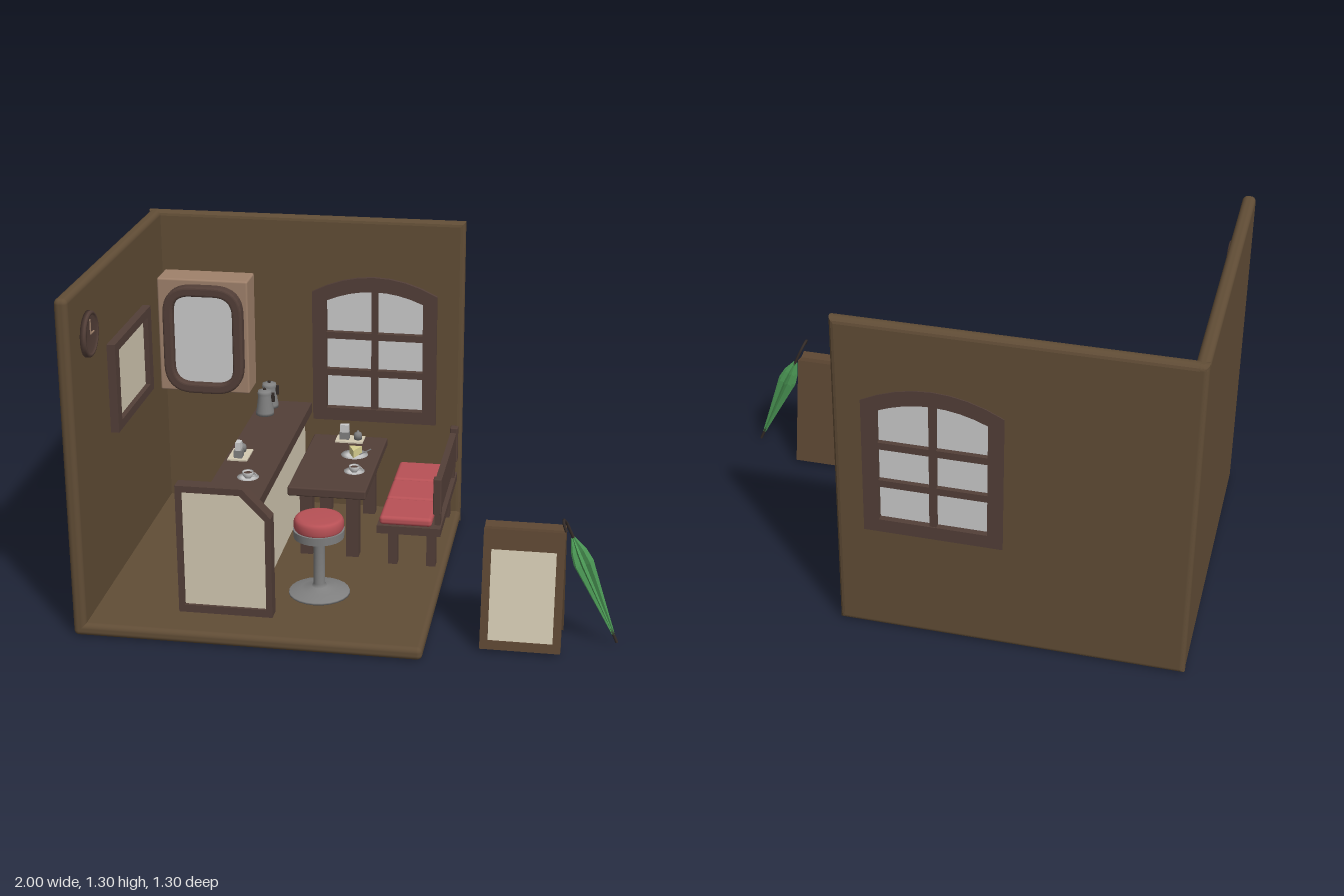
import * as THREE from 'three';
import { RoundedBoxGeometry } from 'three/addons/geometries/RoundedBoxGeometry.js';

const mat = (color, extra = {}) => new THREE.MeshStandardMaterial({ color, ...extra });
const M = {
  wall: mat(0x614d36), wood: mat(0x533f38), tan: mat(0x9f816b), cream: mat(0xd3c9b2), glass: mat(0xcccccc),
  red: mat(0xb85156), metal: mat(0x808080), green: mat(0x4c9a56, { flatShading: true, side: THREE.DoubleSide }),
  white: mat(0xdddddd, { side: THREE.DoubleSide }), yellow: mat(0xd8cf90), black: mat(0x332b28), board: mat(0x5c4632),
};

export function createModel() {
  const root = new THREE.Group();

  const add = (name, geo, m, x = 0, y = 0, z = 0, parent = root) => {
    const mesh = new THREE.Mesh(geo, m);
    mesh.name = name;
    mesh.position.set(x, y, z);
    parent.add(mesh);
    return mesh;
  };
  // box given by its min and max on each axis, optionally rounded
  const box = (name, m, x0, x1, y0, y1, z0, z1, r = 0, parent = root) => {
    const s = [x1 - x0, y1 - y0, z1 - z0];
    const geo = r ? new RoundedBoxGeometry(...s, 3, r) : new THREE.BoxGeometry(...s);
    return add(name, geo, m, (x0 + x1) / 2, (y0 + y1) / 2, (z0 + z1) / 2, parent);
  };
  const group = (name, x = 0, y = 0, z = 0, parent = root) => {
    const g = new THREE.Group();
    g.name = name;
    g.position.set(x, y, z);
    parent.add(g);
    return g;
  };
  const lathe = (pts, n = 24) => new THREE.LatheGeometry(pts.map(p => new THREE.Vector2(...p)), n);
  const extrude = (shape, depth, bevel = 0, hole = null) => {
    if (hole) shape.holes.push(hole);
    return new THREE.ExtrudeGeometry(shape, {
      depth: depth - 2 * bevel, bevelEnabled: bevel > 0, bevelSize: bevel, bevelThickness: bevel,
      bevelSegments: 3, curveSegments: 8,
    }).translate(0, 0, bevel);
  };
  const poly = pts => new THREE.Shape(pts.map(p => new THREE.Vector2(...p)));
  const rect = (w, h) => poly([[-w, -h], [w, -h], [w, h], [-w, h]]);
  const roundRect = (w, h, r) => new THREE.Shape()
    .moveTo(-w + r, -h).lineTo(w - r, -h).quadraticCurveTo(w, -h, w, -h + r)
    .lineTo(w, h - r).quadraticCurveTo(w, h, w - r, h)
    .lineTo(-w + r, h).quadraticCurveTo(-w, h, -w, h - r)
    .lineTo(-w, -h + r).quadraticCurveTo(-w, -h, -w + r, -h);
  const arch = (cx, w, y0, ys, top) => new THREE.Shape()
    .moveTo(cx - w, y0).lineTo(cx + w, y0).lineTo(cx + w, ys)
    .quadraticCurveTo(cx, 2 * top - ys, cx - w, ys).lineTo(cx - w, y0);

  // Room shell
  box('floor', M.wall, -1, 0.3, 0, 0.05, -0.65, 0.65, 0.02);
  box('leftWall', M.wall, -1, -0.95, 0, 1.3, -0.65, 0.65, 0.02);
  const wx = -0.065;
  const wall = poly([[-0.98, 0.02], [0.28, 0.02], [0.28, 1.28], [-0.98, 1.28]]);
  add('backWall', extrude(wall, 0.05, 0.02, arch(wx, 0.24, 0.455, 0.975, 1.035)), M.wall, 0, 0, -0.65);

  // Arched window
  const win = group('window');
  add('windowFrame', extrude(arch(wx, 0.257, 0.437, 0.99, 1.06), 0.069, 0, arch(wx, 0.2, 0.49, 0.955, 1.0)),
    M.wood, 0, 0, -0.654, win);
  add('windowGlass', extrude(arch(wx, 0.205, 0.485, 0.957, 1.005), 0.012), M.glass, 0, 0, -0.63, win);
  box('windowMullion', M.wood, wx - 0.013, wx + 0.013, 0.485, 1.0, -0.65, -0.592, 0, win);
  for (const y of [0.645, 0.805]) box('windowBar', M.wood, wx - 0.2, wx + 0.2, y - 0.014, y + 0.014, -0.649, -0.593, 0, win);

  // Picture on the left wall
  const pic = group('picture', -0.95, 0.82, -0.035);
  pic.rotation.y = Math.PI / 2;
  add('pictureFrame', extrude(rect(0.252, 0.175), 0.032, 0, rect(0.203, 0.14)), M.wood, 0, 0, 0, pic);
  add('pictureCanvas', new THREE.BoxGeometry(0.41, 0.285, 0.012), M.cream, 0, 0, 0.006, pic);

  // Wall clock
  const clock = group('clock', -0.95, 1.11, 0.44);
  clock.rotation.z = -Math.PI / 2;
  add('clockBody', lathe([[0, 0], [0.085, 0], [0.085, 0.015], [0.08, 0.02], [0.072, 0.02], [0.07, 0.012], [0, 0.012]], 32), M.wood, 0, 0, 0, clock);
  box('minuteHand', M.tan, -0.055, 0, 0.012, 0.016, -0.002, 0.002, 0, clock);
  box('hourHand', M.tan, -0.002, 0.002, 0.012, 0.016, -0.038, 0, 0, clock);

  // Cabinet with rounded mirror in the back corner
  box('mirrorCabinet', M.tan, -0.94, -0.565, 0.575, 1.055, -0.602, -0.466, 0.008);
  const mirror = group('mirror', -0.745, 0.81, -0.468);
  add('mirrorFrame', extrude(roundRect(0.155, 0.217, 0.11), 0.052, 0.01, roundRect(0.133, 0.195, 0.085)), M.wood, 0, 0, 0, mirror);
  add('mirrorGlass', extrude(roundRect(0.127, 0.189, 0.08), 0.02), M.glass, 0, 0, 0, mirror);

  // Counter
  box('counterBody', M.cream, -0.52, -0.36, 0.05, 0.46, -0.6, 0.44);
  box('counterTop', M.wood, -0.545, -0.33, 0.46, 0.503, -0.6, 0.44);
  const end = poly([[-0.636, 0.05], [-0.28, 0.05], [-0.28, 0.45], [-0.385, 0.56], [-0.636, 0.56]]);
  const inset = () => poly([[-0.613, 0.08], [-0.303, 0.08], [-0.303, 0.44], [-0.395, 0.535], [-0.613, 0.535]]);
  add('counterEndFrame', extrude(end, 0.056, 0, inset()), M.wood, 0, 0, 0.434);
  add('counterEndPanel', extrude(inset(), 0.032), M.cream, 0, 0, 0.446);

  // Table
  box('tableTop', M.wood, -0.32, -0.01, 0.328, 0.365, -0.6, -0.015, 0.006);
  for (const x of [-0.26, -0.075]) for (const z of [-0.54, -0.11])
    box('tableLeg', M.wood, x - 0.025, x + 0.025, 0.05, 0.33, z - 0.025, z + 0.025);

  // Bench
  const bench = group('bench');
  box('benchSeat', M.wood, 0.035, 0.285, 0.195, 0.228, -0.6, -0.01, 0, bench);
  for (let i = 0; i < 3; i++)
    box('benchCushion', M.red, 0.043, 0.25, 0.228, 0.264, -0.6 + i * 0.196, -0.408 + i * 0.196, 0.014, bench);
  box('benchBack', M.wood, 0.257, 0.282, 0.287, 0.415, -0.6, -0.01, 0, bench);
  for (const z of [-0.583, -0.027]) box('benchBackEnd', M.wood, 0.255, 0.287, 0.287, 0.437, z - 0.017, z + 0.017, 0.005, bench);
  for (const z of [-0.55, -0.065]) {
    box('benchBackPost', M.wood, 0.257, 0.28, 0.22, 0.29, z - 0.018, z + 0.018, 0, bench);
    for (const x of [0.093, 0.245]) box('benchLeg', M.wood, x - 0.018, x + 0.018, 0.05, 0.2, z - 0.02, z + 0.02, 0, bench);
  }

  // Stool
  const stool = group('stool', -0.147, 0, 0.245);
  add('stoolBase', lathe([[0, 0.05], [0.118, 0.05], [0.116, 0.057], [0.07, 0.068], [0.03, 0.078], [0.022, 0.09],
    [0.022, 0.265], [0.045, 0.284], [0, 0.284]]), M.metal, 0, 0, 0, stool);
  add('stoolRim', new THREE.CylinderGeometry(0.098, 0.096, 0.032, 28), M.metal, 0, 0.3, 0, stool);
  add('stoolCushion', lathe([[0.09, 0.315], [0.095, 0.324], [0.095, 0.35], [0.088, 0.362], [0.075, 0.366], [0, 0.366]], 28), M.red, 0, 0, 0, stool);

  // Cups on saucers
  const cup = (x, y, z) => {
    const g = group('cupAndSaucer', x, y, z);
    add('saucer', lathe([[0, 0], [0.022, 0], [0.042, 0.008], [0.022, 0.004], [0, 0.004]]), M.white, 0, 0, 0, g);
    add('cup', lathe([[0, 0.005], [0.012, 0.005], [0.02, 0.016], [0.022, 0.03], [0.018, 0.029], [0.014, 0.013], [0, 0.012]]), M.white, 0, 0, 0, g);
    add('coffee', new THREE.CylinderGeometry(0.018, 0.018, 0.002, 16), M.wood, 0, 0.023, 0, g);
    add('cupHandle', new THREE.TorusGeometry(0.008, 0.002, 6, 12), M.white, 0.024, 0.018, 0, g);
  };
  cup(-0.415, 0.503, 0.25);
  cup(-0.085, 0.365, -0.2);

  // Condiment trays with napkin holder and sugar pot
  const tray = (x, y, z, turn) => {
    const g = group('condimentTray', x, y, z);
    g.rotation.y = turn;
    box('tray', M.cream, -0.058, 0.058, 0, 0.006, -0.039, 0.039, 0, g);
    box('napkinHolder', M.metal, -0.043, -0.003, 0.006, 0.036, -0.016, 0.016, 0, g);
    box('napkins', M.white, -0.041, -0.005, 0.006, 0.068, -0.01, 0.01, 0, g);
    add('sugarPot', lathe([[0, 0.006], [0.016, 0.006], [0.018, 0.025], [0.014, 0.034], [0.005, 0.038], [0.004, 0.044], [0, 0.045]], 16), M.metal, 0.033, 0, 0, g);
  };
  tray(-0.495, 0.503, 0.027, Math.PI / 2);
  tray(-0.16, 0.365, -0.55, 0);

  // Metal jugs at the back of the counter
  for (const z of [-0.528, -0.438]) {
    const g = group('jug', -0.495, 0.503, z);
    add('jugBody', lathe([[0, 0], [0.037, 0], [0.037, 0.012], [0.027, 0.08], [0.03, 0.09], [0.028, 0.102], [0.01, 0.106], [0, 0.106]], 20), M.metal, 0, 0, 0, g);
    box('jugHandle', M.black, 0.025, 0.041, 0.055, 0.095, -0.005, 0.005, 0.003, g);
    add('jugKnob', new THREE.SphereGeometry(0.007, 10, 8), M.black, 0, 0.107, 0, g);
  }

  // Cake plate and fork
  const plate = group('cakePlate', -0.112, 0.365, -0.372);
  add('plate', lathe([[0, 0], [0.03, 0], [0.055, 0.009], [0.03, 0.005], [0, 0.005]], 28), M.white, 0, 0, 0, plate);
  const cake = add('cakeSlice', extrude(poly([[-0.026, 0.024], [0, -0.032], [0.026, 0.024]]), 0.032), M.yellow, 0, 0.005, 0, plate);
  cake.rotation.x = -Math.PI / 2;
  const fork = box('fork', M.metal, 0.038, 0.042, 0.01, 0.013, -0.065, 0.01, 0, plate);
  fork.rotation.y = -0.5;

  // Folding pavement sign: two leaning leaves
  const sign = group('pavementSign', 0.643, 0, 0.415);
  for (const side of [1, -1]) {
    const leaf = group(side > 0 ? 'signFront' : 'signBack', 0, 0.008, side * 0.104, sign);
    leaf.rotation.x = -side * 0.19;
    const bar = (n, m, x0, x1, y0, y1, t = 0.02) => box(n, m, x0, x1, y0, y1, -t, t, 0, leaf);
    if (side < 0) { bar('signBoard', M.board, -0.147, 0.147, 0, 0.45); continue; }
    bar('signStile', M.board, -0.147, -0.118, 0, 0.45);
    bar('signStile', M.board, 0.118, 0.147, 0, 0.45);
    bar('signFoot', M.board, -0.118, 0.118, 0, 0.033);
    bar('signHeader', M.board, -0.118, 0.118, 0.375, 0.45);
    bar('signPanel', M.cream, -0.118, 0.118, 0.033, 0.375, 0.012);
  }

  // Folded umbrella leaning on the sign
  const umb = group('umbrella', 0.99, 0.012, 0.412);
  umb.rotation.z = 0.405;
  const canopy = new THREE.LatheGeometry([[0.002, 0], [0.014, 0.12], [0.028, 0.25], [0.038, 0.34], [0.03, 0.39], [0.008, 0.445]]
    .map(p => new THREE.Vector2(...p)), 16);
  const p = canopy.attributes.position;
  for (let i = 0; i < p.count; i++) {
    // pull every second rib inward to make the pleats
    const k = Math.floor(i / 6) % 2 ? 0.6 : 1;
    p.setX(i, p.getX(i) * k);
    p.setZ(i, p.getZ(i) * k);
  }
  add('umbrellaCanopy', canopy, M.green, 0, 0, 0, umb);
  const hook = new THREE.CatmullRomCurve3([[0, 0.0, 0], [0, 0.48, 0], [0, 0.515, 0.01], [0, 0.533, 0.036], [0, 0.523, 0.062], [0, 0.5, 0.07]]
    .map(a => new THREE.Vector3(...a)), false, 'centripetal');
  add('umbrellaHandle', new THREE.TubeGeometry(hook, 40, 0.0055, 8), M.black, 0, 0, 0, umb);

  return root;
}
